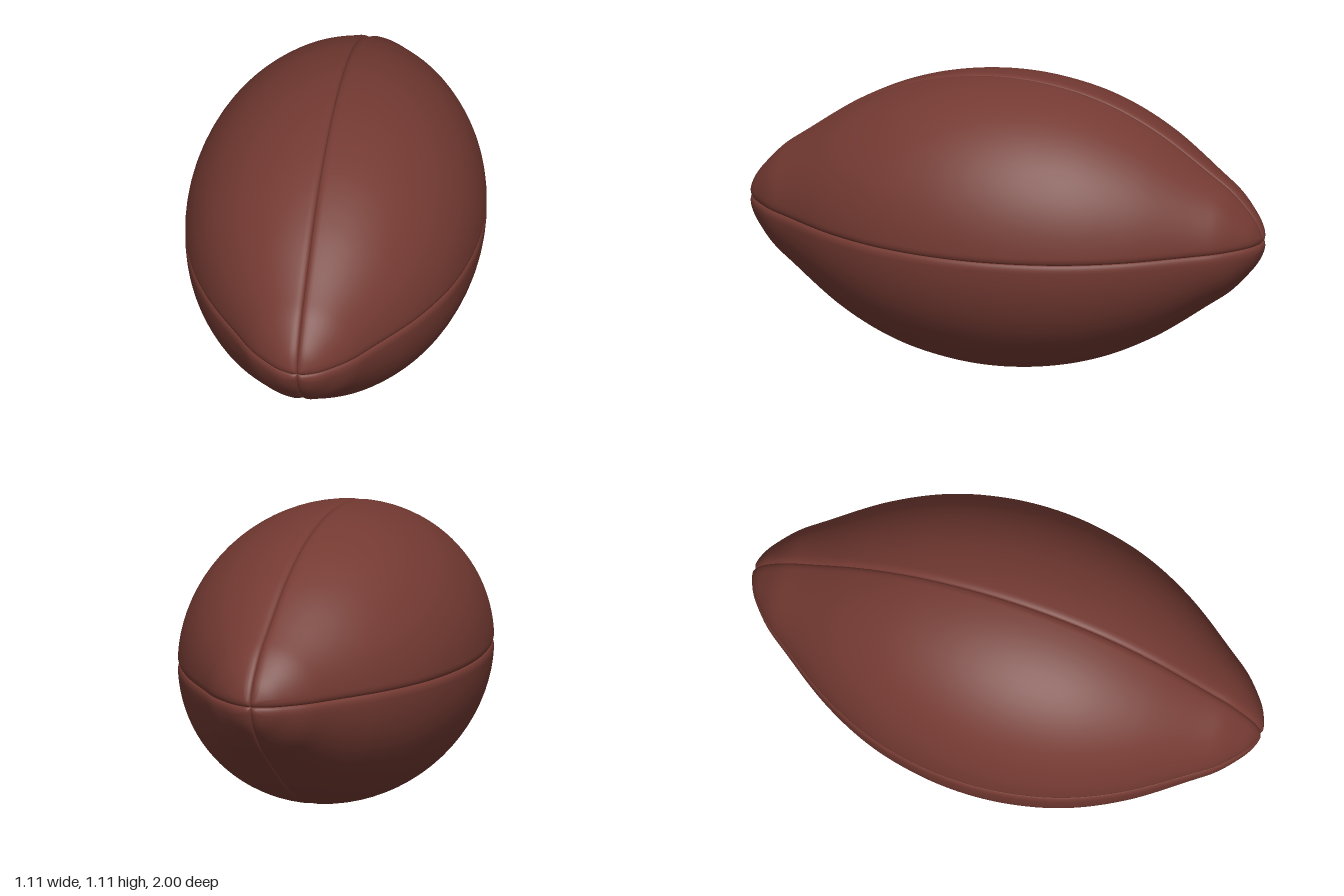
import * as THREE from 'three';

const RADIUS = 0.555;
const SEAM_WIDTH = 0.03, SEAM_DEPTH = 0.014;

// Half outline of the ball: (z, radius) from the front tip to the middle
const HALF = [
  [1.001, 0], [0.998, 0.03], [0.977, 0.08], [0.94, 0.13], [0.88, 0.193],
  [0.8, 0.252], [0.6, 0.39], [0.4, 0.486], [0.2, 0.538], [0, RADIUS],
];

// Rounded fall of a panel edge into the seam, d away from it
function edgeDrop(d) {
  const t = Math.max(0, 1 - d / SEAM_WIDTH);
  return SEAM_DEPTH * (1 - Math.sqrt(1 - t * t));
}

// Angles across a quarter panel, packed closely beside both seams
function panelAngles(r) {
  const quarter = Math.PI / 2;
  const band = r > 0 ? Math.min(SEAM_WIDTH / r, quarter * 0.3) : quarter * 0.3;
  const edge = [0, 0.03, 0.1, 0.22, 0.4, 0.65].map((t) => t * band);
  const middle = [];
  for (let i = 0; i <= 20; i++) middle.push(band + (quarter - 2 * band) * i / 20);
  return [...edge, ...middle, ...edge.map((a) => quarter - a).reverse()];
}

// One padded quarter panel running from tip to tip along z
function panelGeometry() {
  const back = HALF.slice(0, -1).reverse().map(([z, r]) => [-z, r]);
  const curve = new THREE.SplineCurve([...HALF, ...back].map(([z, r]) => new THREE.Vector2(z, r)));
  const rings = 144;
  const positions = [], indices = [];
  let columns = 0;
  for (let i = 0; i <= rings; i++) {
    const p = curve.getPoint(i / rings);
    const r = i === 0 || i === rings ? 0 : Math.max(p.y, 0);
    const before = curve.getPoint(Math.max(0, i / rings - 0.001));
    const after = curve.getPoint(Math.min(1, i / rings + 0.001));
    const tangent = after.sub(before).normalize();
    const angles = panelAngles(r);
    columns = angles.length;
    for (const a of angles) {
      const drop = Math.hypot(edgeDrop(r * Math.sin(a)), edgeDrop(r * Math.cos(a)));
      const radius = Math.max(0, r + tangent.x * drop);
      positions.push(radius * Math.cos(a), radius * Math.sin(a), p.x - tangent.y * drop);
    }
  }
  for (let i = 0; i < rings; i++) {
    for (let j = 0; j < columns - 1; j++) {
      const a = i * columns + j, b = a + columns;
      indices.push(a, b, a + 1, b, b + 1, a + 1);
    }
  }
  const geometry = new THREE.BufferGeometry();
  geometry.setAttribute('position', new THREE.Float32BufferAttribute(positions, 3));
  geometry.setIndex(indices);
  geometry.computeVertexNormals();
  return geometry;
}

export function createModel() {
  const group = new THREE.Group();
  group.name = 'ball';
  const leather = new THREE.MeshStandardMaterial({ color: 0x743a32 });
  leather.name = 'brown leather';

  // Four equal panels around the long axis
  const geometry = panelGeometry();
  ['upperLeftPanel', 'upperRightPanel', 'lowerRightPanel', 'lowerLeftPanel'].forEach((name, k) => {
    const panel = new THREE.Mesh(geometry, leather);
    panel.name = name;
    panel.rotation.z = k * Math.PI / 2;
    panel.position.y = RADIUS + 0.001;
    group.add(panel);
  });
  return group;
}
